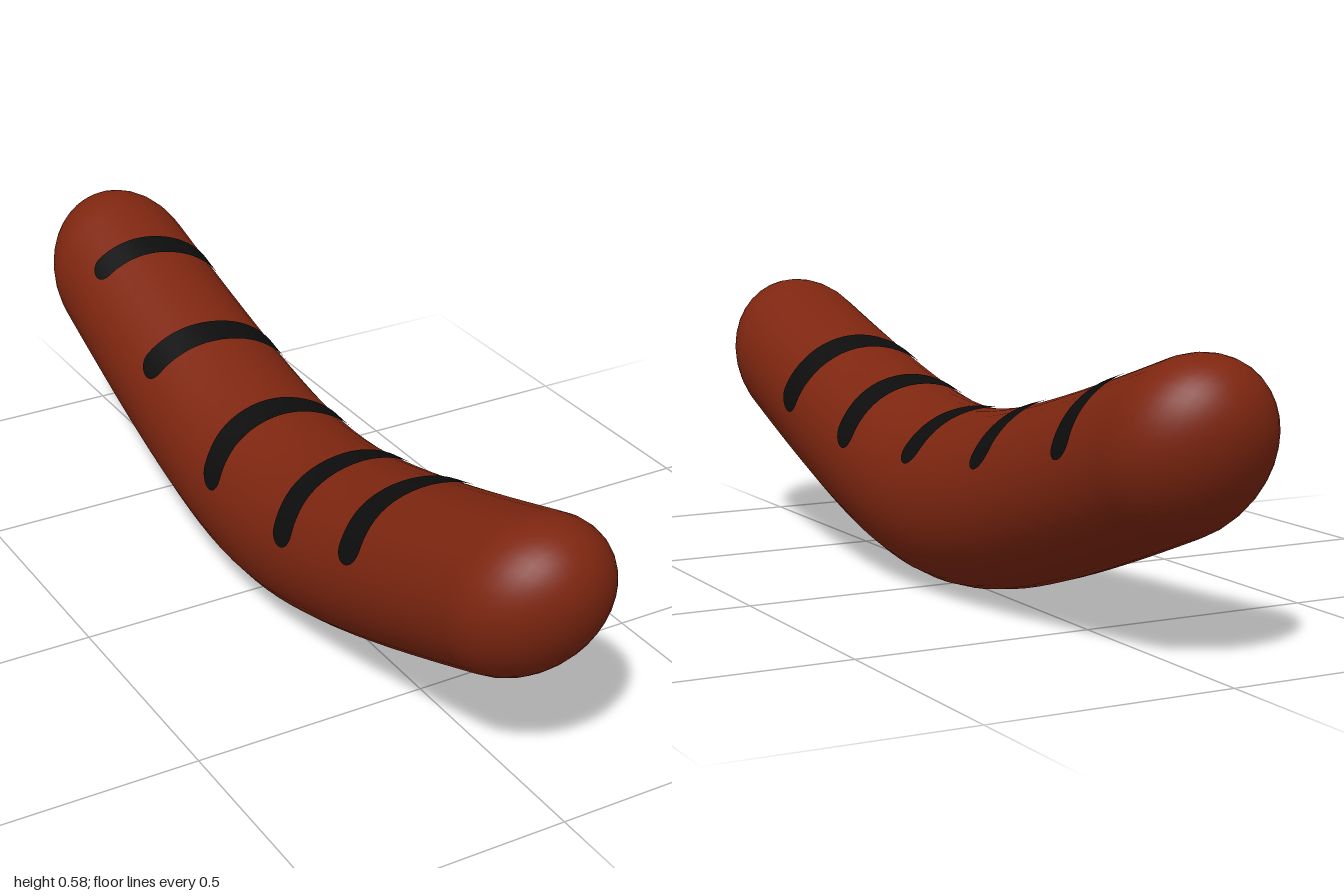
import * as THREE from 'three';
import { mergeVertices } from 'three/addons/utils/BufferGeometryUtils.js';

const END_RADIUS = 0.171;
const CAP_START = 1 - END_RADIUS;

// Height of the curved centre line and radius of the body at z
const rise = (z) => 0.383 * (Math.sqrt(z * z + 0.1225) - 0.35);
const centreY = (z) => 0.19 + rise(z);
const bodyRadius = (z) => {
  const k = Math.min(1, rise(z) / rise(CAP_START));
  return 0.19 - (0.19 - END_RADIUS) * k;
};

// Capsule, swollen in the middle and bent upwards at both ends
function bodyGeometry() {
  const geo = new THREE.CapsuleGeometry(END_RADIUS, 2 * CAP_START, 12, 32, 32);
  geo.rotateX(Math.PI / 2);
  const p = geo.attributes.position;
  for (let i = 0; i < p.count; i++) {
    const z = p.getZ(i);
    const s = bodyRadius(z) / END_RADIUS;
    p.setXYZ(i, p.getX(i) * s, p.getY(i) * s + centreY(z), z);
  }
  geo.deleteAttribute('uv');
  geo.deleteAttribute('normal');
  const merged = mergeVertices(geo, 1e-5);
  merged.computeVertexNormals();
  return merged;
}

// Thin round-ended band lying on the body; angles run from the top towards +x
function markGeometry({ from, to, half, zs }) {
  const path = new THREE.SplineCurve(zs.map((z, i) => new THREE.Vector2(i, z)));
  const a0 = THREE.MathUtils.degToRad(from);
  const a1 = THREE.MathUtils.degToRad(to);
  const along = 40, across = 4;
  const pos = [], index = [];
  for (let i = 0; i <= along; i++) {
    const t = (1 - Math.cos((Math.PI * i) / along)) / 2;
    const a = a0 + (a1 - a0) * t;
    const mid = path.getPoint(t).y;
    const toEnd = Math.min(t, 1 - t) * (a1 - a0) * bodyRadius(mid);
    const e = Math.max(0, 1 - toEnd / half);
    const w = half * Math.sqrt(1 - e * e);
    for (let j = 0; j <= across; j++) {
      const z = mid + w * ((2 * j) / across - 1);
      const r = bodyRadius(z) + 0.003;
      pos.push(Math.sin(a) * r, centreY(z) + Math.cos(a) * r, z);
      if (i < along && j < across) {
        const k = i * (across + 1) + j;
        const n = k + across + 1;
        index.push(k, k + 1, n, k + 1, n + 1, n);
      }
    }
  }
  const geo = new THREE.BufferGeometry();
  geo.setAttribute('position', new THREE.Float32BufferAttribute(pos, 3));
  geo.setIndex(index);
  geo.computeVertexNormals();
  return geo;
}

// Grill marks from back to front, with a slightly wavy course
const MARKS = [
  { from: -50, to: 82, half: 0.029, zs: [-0.7, -0.69, -0.677, -0.675, -0.68] },
  { from: -60, to: 71, half: 0.033, zs: [-0.4, -0.385, -0.368, -0.362, -0.362] },
  { from: -75, to: 64, half: 0.034, zs: [-0.055, -0.075, -0.072, -0.055, -0.05] },
  { from: -79, to: 74, half: 0.035, zs: [0.255, 0.235, 0.24, 0.245, 0.24] },
  { from: -74, to: 85, half: 0.036, zs: [0.495, 0.475, 0.49, 0.507, 0.53] },
];

export function createModel() {
  const model = new THREE.Group();
  model.name = 'grilledSausage';

  const meat = new THREE.MeshStandardMaterial({ color: 0x7e2610 });
  meat.name = 'brownMeat';
  const char = new THREE.MeshStandardMaterial({ color: 0x0d0d0d });
  char.name = 'charBlack';

  const body = new THREE.Mesh(bodyGeometry(), meat);
  body.name = 'sausageBody';
  model.add(body);

  MARKS.forEach((m, i) => {
    const mark = new THREE.Mesh(markGeometry(m), char);
    mark.name = `grillMark${i + 1}`;
    model.add(mark);
  });
  return model;
}
